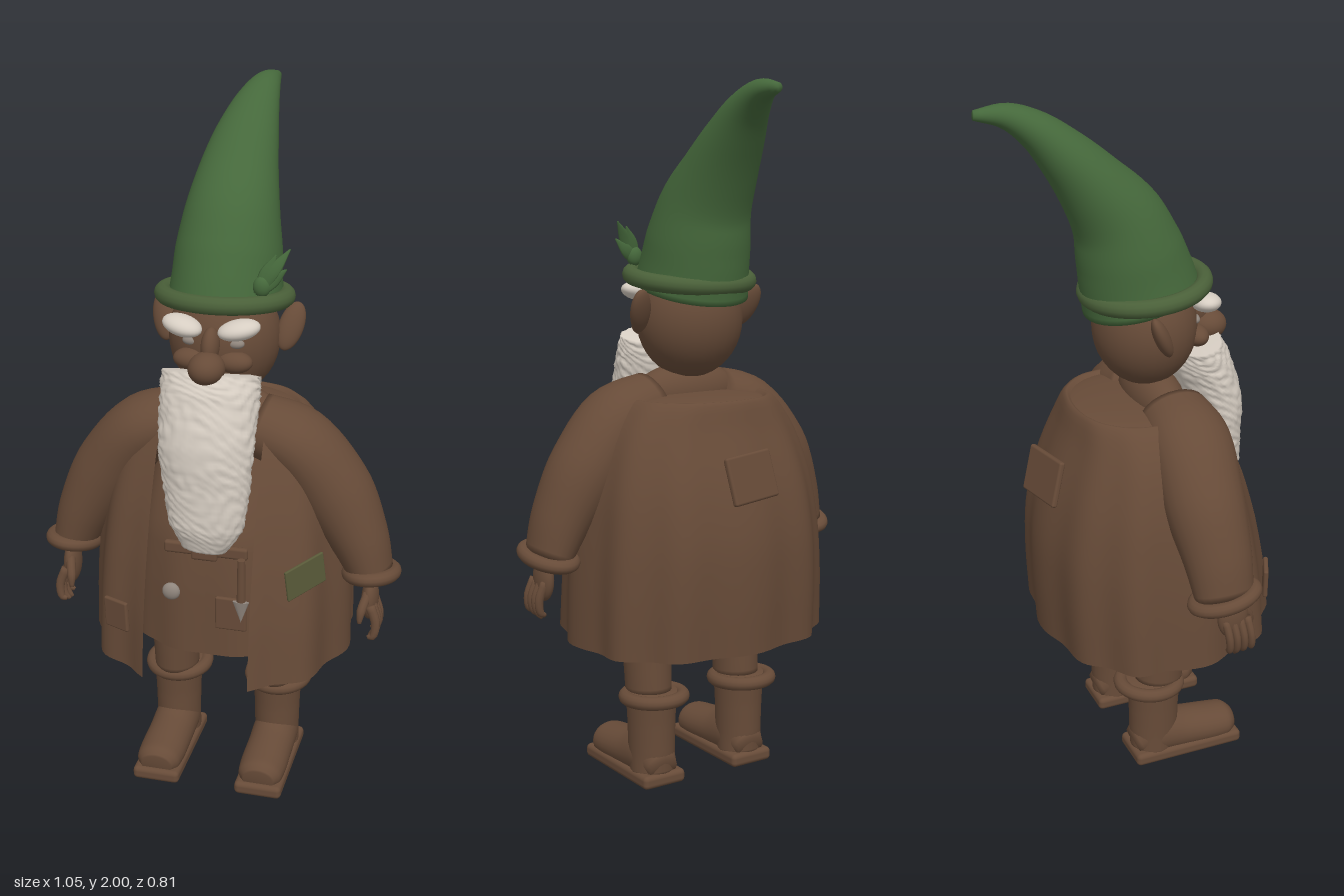
import * as THREE from 'three';
import { RoundedBoxGeometry } from 'three/addons/geometries/RoundedBoxGeometry.js';

const mat = (name, color, side = THREE.FrontSide) => {
  const m = new THREE.MeshStandardMaterial({ color, side });
  m.name = name;
  return m;
};

// Grid of points to an indexed surface; wrap joins the last column to the first
function grid(rows, wrap, capped) {
  const n = rows[0].length, pos = [], idx = [];
  rows.forEach(r => r.forEach(p => pos.push(p.x, p.y, p.z)));
  for (let i = 0; i < rows.length - 1; i++) {
    for (let j = 0; j < (wrap ? n : n - 1); j++) {
      const a = i * n + j, b = i * n + (j + 1) % n;
      idx.push(a, b, a + n, b, b + n, a + n);
    }
  }
  if (capped) {
    [0, rows.length - 1].forEach((i, end) => {
      const c = new THREE.Vector3();
      rows[i].forEach(p => c.addScaledVector(p, 1 / n));
      const k = pos.length / 3;
      pos.push(c.x, c.y, c.z);
      for (let j = 0; j < n; j++) {
        const a = i * n + j, b = i * n + (j + 1) % n;
        idx.push(k, end ? a : b, end ? b : a);
      }
    });
  }
  const g = new THREE.BufferGeometry();
  g.setAttribute('position', new THREE.Float32BufferAttribute(pos, 3));
  g.setIndex(idx);
  g.computeVertexNormals();
  return g;
}

// Tapering limb through sections [x, y, z, radius along ref, radius across]
function loft(sections, ref, { steps = 24, sides = 24, bump = () => 0 } = {}) {
  const spine = new THREE.CatmullRomCurve3(sections.map(s => new THREE.Vector3(s[0], s[1], s[2])));
  const size = new THREE.CatmullRomCurve3(sections.map(s => new THREE.Vector3(s[3], s[4], 0)));
  const rows = [];
  for (let i = 0; i <= steps; i++) {
    const t = i / steps, c = spine.getPoint(t), r = size.getPoint(t), d = spine.getTangent(t);
    const u = ref.clone().addScaledVector(d, -ref.dot(d)).normalize();
    const v = d.clone().cross(u);
    rows.push(Array.from({ length: sides }, (_, j) => {
      const a = j / sides * Math.PI * 2, k = 1 + bump(t, a);
      return c.clone().addScaledVector(u, Math.cos(a) * r.x * k).addScaledVector(v, Math.sin(a) * r.y * k);
    }));
  }
  return grid(rows, true, true);
}

// Cloth shell from rows [y, half width, depth behind, depth in front], open by gap at the front
function cloth(profile, gap, fold, lift) {
  const curve = new THREE.CatmullRomCurve3(profile.map(p => new THREE.Vector3(p[0], p[1], p[2])));
  const front = new THREE.CatmullRomCurve3(profile.map(p => new THREE.Vector3(p[3], 0, 0)));
  const rows = [], steps = 24, n = 96, pw = 0.88;
  const soft = v => Math.sign(v) * Math.abs(v) ** pw;
  for (let i = 0; i <= steps; i++) {
    const t = i / steps, c = curve.getPoint(t), hf = front.getPoint(t).x;
    const a0 = Math.asin(Math.min(1, gap / c.y) ** (1 / pw));
    const row = [];
    for (let j = 0; j <= n; j++) {
      const a = a0 + (Math.PI * 2 - 2 * a0) * j / n, cs = Math.cos(a);
      const k = 1 - fold * (1 - t) * Math.cos(11 * a);
      row.push(new THREE.Vector3(c.y * k * soft(Math.sin(a)),
        c.x + lift * t ** 4 * Math.max(0, cs),
        0.03 + k * soft(cs) * (cs > 0 ? hf : c.z)));
    }
    rows.push(row);
  }
  return grid(rows, false, false);
}

export function createModel() {
  const root = new THREE.Group();
  root.name = 'hatted_figure';
  const brown = mat('brown', 0x674b38);
  const brownCloth = mat('brown cloth', 0x674b38, THREE.DoubleSide);
  const green = mat('hat green', 0x45683b);
  const brimGreen = mat('brim green', 0x4a6039);
  const olive = mat('patch olive', 0x595a39);
  const white = mat('beard white', 0xd6cdc2);
  const grey = mat('metal grey', 0x8f857c);
  const X = new THREE.Vector3(1, 0, 0), Z = new THREE.Vector3(0, 0, 1);

  const add = (name, geo, m, p = [0, 0, 0], r = [0, 0, 0], s = [1, 1, 1]) => {
    const mesh = new THREE.Mesh(geo, m);
    mesh.name = name;
    mesh.position.set(...p);
    mesh.rotation.set(...r);
    mesh.scale.set(...s);
    root.add(mesh);
  };
  const ball = new THREE.SphereGeometry(1, 28, 20);
  const blob = (name, m, p, s, r) => add(name, ball, m, p, r, s);
  const plate = (name, m, p, s, r) => add(name, new RoundedBoxGeometry(...s, 2, Math.min(...s) * 0.4), m, p, r);

  // Pointed hat, brim and leaf
  add('hat', loft([[0, 1.43, 0.05, 0.16, 0.168], [0, 1.5, 0.032, 0.152, 0.16], [0, 1.57, 0.012, 0.147, 0.149],
    [0, 1.66, -0.022, 0.132, 0.128], [0, 1.76, -0.092, 0.111, 0.097], [0.005, 1.845, -0.163, 0.09, 0.074],
    [0.015, 1.92, -0.24, 0.064, 0.052], [0.025, 1.962, -0.315, 0.04, 0.034], [0.035, 1.97, -0.4, 0.013, 0.013]],
  X, { steps: 40, sides: 40 }), green);
  add('hatBrim', new THREE.TorusGeometry(0.168, 0.025, 12, 48), brimGreen, [0, 1.462, 0.06], [Math.PI / 2 - 0.11, 0, 0], [1, 0.98, 1]);
  [[0.195, 1.62, 0.13], [0.16, 1.605, 0.14], [0.19, 1.57, 0.15]].forEach(([x, y, z]) =>
    add('hatLeaf', loft([[0.115, 1.5, 0.16, 0.012, 0.006], [(x + 0.11) / 2, (y + 1.5) / 2, 0.152, 0.019, 0.007],
      [x, y, z, 0.002, 0.002]], X, { steps: 10, sides: 10 }), green));
  blob('hatRosette', green, [0.125, 1.52, 0.155], [0.024, 0.028, 0.018]);

  // Head and face
  blob('head', brown, [0, 1.345, 0.06], [0.155, 0.17, 0.147]);
  blob('nose', brown, [0, 1.315, 0.255], [0.05, 0.044, 0.055]);
  blob('noseBridge', brown, [0, 1.365, 0.215], [0.025, 0.05, 0.035], [-0.35, 0, 0]);
  for (const s of [1, -1]) {
    blob('ear', brown, [s * 0.18, 1.375, 0.035], [0.035, 0.07, 0.022], [-0.4, s * 0.3, -s * 0.25]);
    blob('eyebrow', white, [s * 0.078, 1.415, 0.212], [0.058, 0.027, 0.042], [0, s * 0.3, s * 0.18]);
    blob('eye', grey, [s * 0.062, 1.365, 0.183], [0.024, 0.014, 0.016]);
    blob('cheek', brown, [s * 0.06, 1.315, 0.19], [0.05, 0.03, 0.035]);
  }

  // Shaggy beard
  add('beard', loft([[0, 1.285, 0.205, 0.135, 0.07], [0, 1.22, 0.225, 0.137, 0.085], [0, 1.1, 0.265, 0.132, 0.082],
    [0.005, 0.98, 0.28, 0.12, 0.072], [0.005, 0.87, 0.29, 0.103, 0.062], [0, 0.8, 0.295, 0.062, 0.035]], X, {
    steps: 64, sides: 80,
    bump: (t, a) => 0.022 * Math.sin(t * 60 + 2.5 * Math.sin(5 * a)) * Math.sin(12 * a + 5 * Math.sin(t * 23))
      + 0.016 * Math.sin(t * 95 + 7 * Math.sin(3 * a + t * 9)),
  }), white);

  // Coat, open at the front, with shoulders and sleeves
  add('coat', cloth([[0.43, 0.372, 0.29, 0.39], [0.6, 0.37, 0.3, 0.37], [0.75, 0.36, 0.297, 0.34],
    [0.9, 0.337, 0.268, 0.297], [1.05, 0.282, 0.215, 0.235], [1.13, 0.212, 0.187, 0.185], [1.12, 0.19, 0.17, 0.15]],
  0.148, 0.03, 0.05), brownCloth);
  blob('shoulderYoke', brown, [0, 1.112, 0.02], [0.212, 0.025, 0.185]);
  blob('neck', brown, [0, 1.13, 0.085], [0.17, 0.085, 0.075]);
  plate('backPatch', brown, [0, 0.93, -0.247], [0.17, 0.135, 0.018], [0.27, 0.16, -0.1]);
  plate('coatPocket', brown, [-0.24, 0.59, 0.348], [0.085, 0.09, 0.014], [0, -0.45, 0.05]);
  plate('greenPatch', olive, [0.284, 0.745, 0.283], [0.145, 0.09, 0.009], [-0.12, 0.98, 0.2]);

  // Tunic with belt buckle, button, pocket and knife
  add('tunic', cloth([[0.46, 0.27, 0.18, 0.26], [0.65, 0.26, 0.18, 0.255], [0.8, 0.245, 0.18, 0.24],
    [1.0, 0.2, 0.14, 0.16], [1.12, 0.16, 0.1, 0.1]], 0, 0.012, 0), brownCloth);
  plate('belt', brown, [0, 0.785, 0.272], [0.24, 0.035, 0.02]);
  plate('buckle', brown, [0, 0.78, 0.29], [0.075, 0.035, 0.02]);
  blob('button', grey, [-0.1, 0.645, 0.28], [0.026, 0.026, 0.016]);
  plate('tunicPocket', brown, [0.075, 0.6, 0.286], [0.09, 0.1, 0.014]);
  add('knifeHandle', new THREE.CylinderGeometry(0.011, 0.013, 0.13, 12), brown, [0.108, 0.715, 0.3]);
  add('knifeBlade', new THREE.ConeGeometry(0.024, 0.065, 12), grey, [0.108, 0.62, 0.305], [Math.PI, 0, 0], [1, 1, 0.35]);

  for (const s of [1, -1]) {
    // Sleeve and cuff
    add('sleeve', loft([[s * 0.1, 1.11, 0.105, 0.1, 0.085], [s * 0.22, 1.065, 0.105, 0.118, 0.097],
      [s * 0.32, 0.94, 0.1, 0.115, 0.105], [s * 0.4, 0.8, 0.11, 0.098, 0.083], [s * 0.44, 0.695, 0.115, 0.085, 0.062]],
    Z), brown);
    add('cuff', new THREE.TorusGeometry(0.064, 0.02, 12, 36), brown, [s * 0.44, 0.695, 0.115],
      [Math.PI / 2 - 0.18, s * 0.08, 0], [1, 1.3, 1]);

    // Hand with curled fingers
    blob('palm', brown, [s * 0.443, 0.625, 0.14], [0.024, 0.065, 0.045]);
    for (let i = 0; i < 4; i++) {
      const z = 0.115 + i * 0.022, low = 0.505 + Math.abs(i - 1.3) * 0.012;
      add('finger', loft([[s * 0.45, 0.62, z, 0.012, 0.014], [s * 0.468, 0.57, z + 0.006, 0.011, 0.013],
        [s * 0.462, 0.53, z + 0.01, 0.01, 0.011], [s * 0.447, low, z + 0.01, 0.005, 0.006]], Z, { steps: 10, sides: 10 }), brown);
    }
    add('thumb', loft([[s * 0.44, 0.65, 0.165, 0.014, 0.014], [s * 0.428, 0.61, 0.198, 0.013, 0.013],
      [s * 0.425, 0.575, 0.207, 0.006, 0.006]], Z, { steps: 8, sides: 10 }), brown);

    // Leg, boot and sole
    const x = s * 0.155;
    add('leg', loft([[x, 0.75, 0.05, 0.08, 0.08], [x, 0.45, 0.053, 0.072, 0.075], [x, 0.27, 0.045, 0.066, 0.072]], X), brown);
    add('bootCuff', new THREE.TorusGeometry(0.082, 0.02, 12, 36), brown, [x, 0.26, 0.015], [Math.PI / 2 + 0.04, 0, 0], [1, 1.05, 1]);
    add('bootShaft', loft([[x, 0.275, 0.03, 0.072, 0.083], [x, 0.18, 0.03, 0.068, 0.076], [x, 0.1, 0.03, 0.066, 0.074],
      [x, 0.03, 0.025, 0.066, 0.066]], X), brown);
    add('bootFoot', loft([[x, 0.05, -0.035, 0.045, 0.035], [x, 0.075, 0.03, 0.066, 0.075], [x, 0.065, 0.12, 0.067, 0.062],
      [x, 0.057, 0.21, 0.068, 0.056], [x, 0.054, 0.26, 0.064, 0.052], [x, 0.05, 0.285, 0.045, 0.035]], X), brown);
    add('sole', new RoundedBoxGeometry(0.14, 0.04, 0.345, 3, 0.014), brown, [x, 0.02, 0.125]);
  }
  return root;
}
